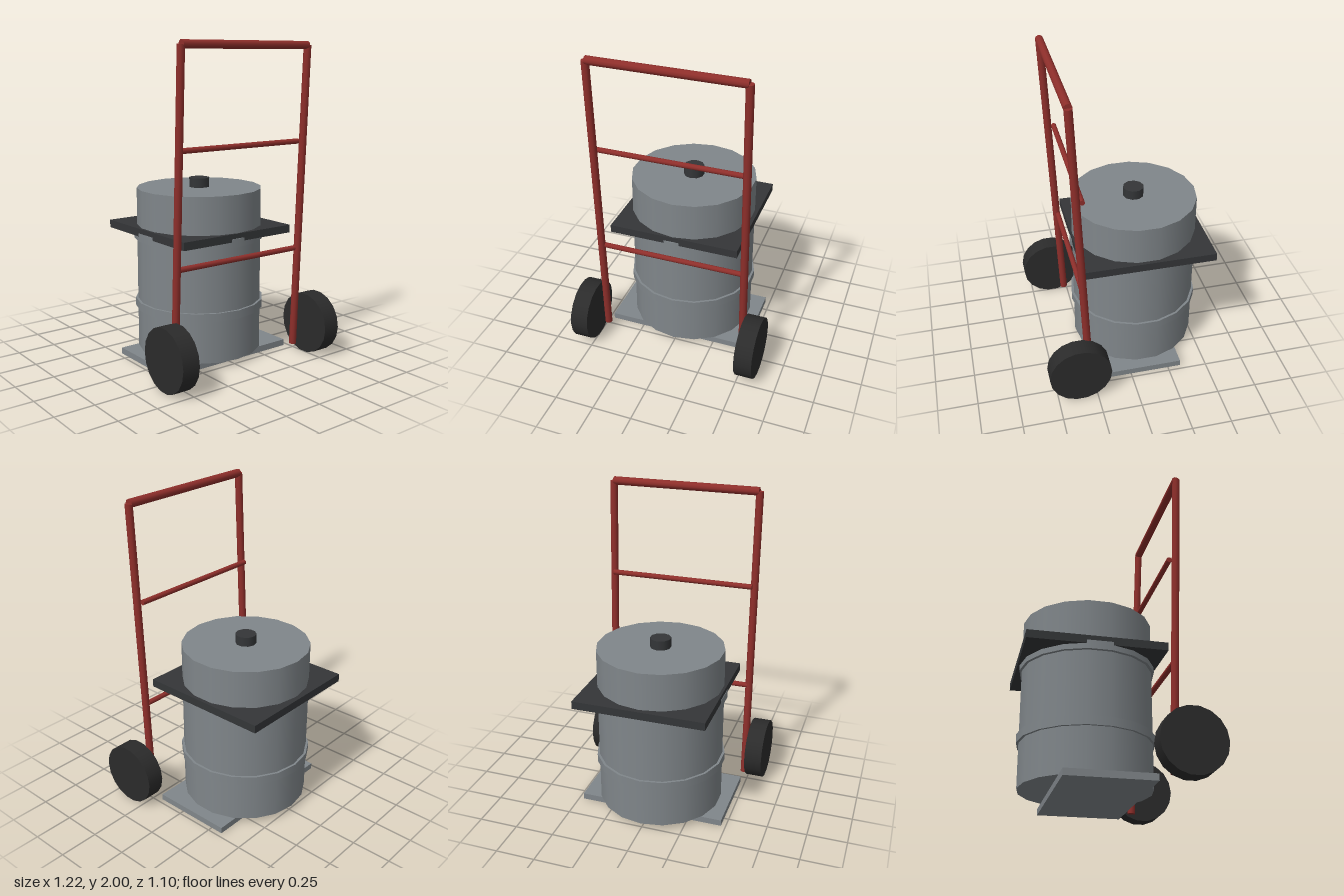
import * as THREE from 'three';

const material = (color) => new THREE.MeshStandardMaterial({ color });

export function createModel() {
  const root = new THREE.Group();
  root.name = 'drumTrolley';

  const red = material(0x8f2f2b);
  const steel = material(0x80868a);
  const dark = material(0x343638);
  const rubber = material(0x2b2b2b);

  const add = (name, geometry, mat, x, y, z) => {
    const mesh = new THREE.Mesh(geometry, mat);
    mesh.name = name;
    mesh.position.set(x, y, z);
    root.add(mesh);
    return mesh;
  };

  // Upright cylinder between two heights
  const drumZ = -0.12;
  const disc = (name, radius, y0, y1, sides, mat, x = 0) =>
    add(name, new THREE.CylinderGeometry(radius, radius, y1 - y0, sides), mat, x, (y0 + y1) / 2, drumZ);

  // Round rod between two points
  const rod = (name, from, to, radius) => {
    const a = new THREE.Vector3(...from);
    const b = new THREE.Vector3(...to);
    const dir = b.clone().sub(a);
    const mid = a.clone().add(b).multiplyScalar(0.5);
    const mesh = add(name, new THREE.CylinderGeometry(radius, radius, dir.length(), 10), red, mid.x, mid.y, mid.z);
    mesh.quaternion.setFromUnitVectors(new THREE.Vector3(0, 1, 0), dir.normalize());
  };

  // Drum with two hoops and a cap
  disc('drum', 0.4, 0.04, 1.085, 18, steel);
  disc('lowerHoop', 0.415, 0.31, 0.363, 18, steel);
  disc('upperHoop', 0.415, 0.765, 0.818, 18, steel, -0.006);
  disc('cap', 0.066, 1.085, 1.145, 10, dark);

  // Square collar around the drum and the foot plate under it
  add('collar', new THREE.BoxGeometry(0.83, 0.05, 0.835), dark, 0.003, 0.823, -0.131);
  add('footPlate', new THREE.BoxGeometry(0.94, 0.04, 0.525), steel, 0, 0.02, -0.07);

  // Leaning side rails and wheels, mirrored
  const railX = 0.474;
  for (const [side, s] of [['left', 1], ['right', -1]]) {
    rod(side + 'Rail', [s * railX, 0.04, 0.275], [s * railX, 1.974, 0.357], 0.024);
    const wheel = add(side + 'Wheel', new THREE.CylinderGeometry(0.196, 0.196, 0.114, 18), rubber, s * 0.552, 0.197, 0.355);
    wheel.rotation.z = Math.PI / 2;
  }

  // Handle and cross bars
  rod('handle', [-0.472, 1.974, 0.357], [0.472, 1.974, 0.357], 0.026);
  for (const y of [0.693, 1.382])
    rod('crossBar', [-0.465, y, 0.295], [0.465, y, 0.295], 0.017);

  return root;
}
